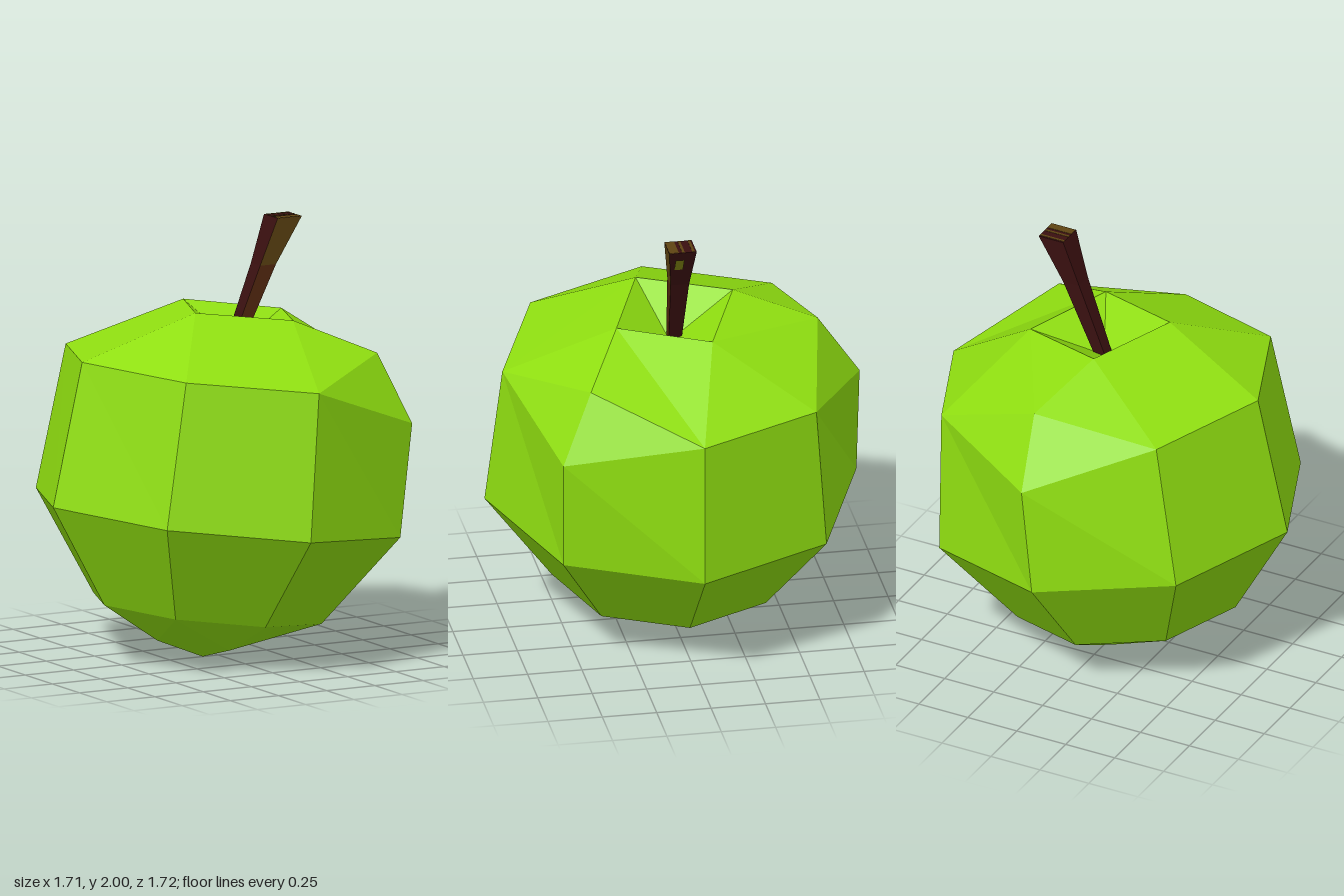
import * as THREE from 'three';

const material = (name, color) => {
  const m = new THREE.MeshStandardMaterial({ color, flatShading: true });
  m.name = name;
  return m;
};

// Flat-shaded mesh from a list of triangles, each three Vector3 corners
function facets(name, triangles, mat) {
  const geometry = new THREE.BufferGeometry().setFromPoints(triangles.flat());
  geometry.computeVertexNormals();
  const mesh = new THREE.Mesh(geometry, mat);
  mesh.name = name;
  return mesh;
}

const v = (x, y, z) => new THREE.Vector3(x, y, z);

// Level ring tilted down towards +x, running from +x to +z
const tiltedRing = (n, r, cx, cy) => Array.from({ length: n }, (_, i) => {
  const a = (i / n) * Math.PI * 2;
  return v(cx + r * Math.cos(a), cy - 0.118 * r * Math.cos(a), r * Math.sin(a));
});

// Two outward triangles of side i between a lower and an upper ring
const side = (low, up, i) => {
  const j = (i + 1) % low.length;
  return [[low[i], up[i], up[j]], [low[i], up[j], low[j]]];
};

function createFruit(mat) {
  const tip = v(-0.08, 0.005, 0);
  const base = tiltedRing(4, 0.24, -0.075, 0.072);
  const lower = tiltedRing(8, 0.535, -0.055, 0.225);
  const belly = tiltedRing(8, 0.855, 0, 0.66);
  // Uneven shoulder, rim of the hollow and two bumps between them
  const s = [
    v(0.85, 1.235, 0), v(0.66, 1.11, 0.615), v(0.08, 1.328, 0.788), v(-0.478, 1.39, 0.555),
    v(-0.705, 1.415, 0), v(-0.478, 1.39, -0.555), v(0.05, 1.175, -0.86), v(0.62, 1.26, -0.555),
  ];
  const r = [v(0.395, 1.545, -0.12), v(0.225, 1.57, 0.29), v(-0.188, 1.615, 0.125), v(-0.018, 1.597, -0.29)];
  const frontBump = v(0.56, 1.42, 0.47), backBump = v(0.09, 1.475, -0.66);
  const hollow = v(0.09, 1.42, 0.02);

  const t = [];
  for (let i = 0; i < 8; i++) t.push(...side(lower, belly, i), ...side(belly, s, i));
  for (let k = 0; k < 4; k++) {
    const n = (k + 1) % 4, b0 = lower[2 * k], b1 = lower[2 * k + 1], b2 = lower[(2 * k + 2) % 8];
    // Underside
    t.push([base[k], b0, b1], [base[k], b1, base[n]], [base[n], b1, b2], [tip, base[k], base[n]]);
    // Stem hollow
    t.push([r[k], hollow, r[n]]);
  }
  // Shoulder up to the rim
  t.push(
    [s[0], frontBump, s[1]], [s[1], frontBump, s[2]], [s[0], r[1], frontBump], [frontBump, r[1], s[2]],
    [s[0], r[0], r[1]], [s[2], r[1], r[2]], [s[2], r[2], s[3]], [s[3], r[2], s[4]],
    [s[4], r[2], r[3]], [s[4], r[3], s[5]], [s[5], r[3], backBump], [s[5], backBump, s[6]],
    [s[6], backBump, s[7]], [backBump, r[3], r[0]], [backBump, r[0], s[7]], [s[7], r[0], s[0]],
  );
  return facets('fruit', t, mat);
}

function createStem(dark, brown, olive, moss) {
  const stem = new THREE.Group();
  stem.name = 'stem';
  const section = (y, x0, x1, z0, z1) => [v(x1, y, z0), v(x1, y, z1), v(x0, y, z1), v(x0, y, z0)];
  const foot = section(1.41, 0.045, 0.1, -0.03, 0.028);
  const middle = section(1.785, 0.19, 0.272, -0.035, 0.05);
  const top = section(2, 0.265, 0.39, -0.048, 0.078);

  // Sides run right, front, left, back; the front is lighter
  const bark = [];
  for (const i of [0, 2, 3]) bark.push(...side(foot, middle, i), ...side(middle, top, i));
  bark.push([top[0], top[2], top[1]], [top[0], top[3], top[2]]);
  stem.add(
    facets('stemBark', bark, dark),
    facets('stemLowerFront', side(foot, middle, 1), brown),
    facets('stemUpperFront', side(middle, top, 1), olive),
  );

  // Thin stripes on the cut end
  for (const [z, w] of [[0.055, 0.042], [0.012, 0.012], [-0.034, 0.012]]) {
    const stripe = new THREE.Mesh(new THREE.BoxGeometry(0.122, 0.003, w), olive);
    stripe.position.set(0.3275, 2, z);
    stripe.name = 'cutEndStripe';
    stem.add(stripe);
  }

  // Moss fleck on the leaning side
  const low = [v(0.334, 1.89, 0.005), v(0.334, 1.89, 0.045)];
  const high = [v(0.372, 1.955, 0.005), v(0.372, 1.955, 0.045)];
  stem.add(facets('mossFleck', side(low, high, 0), moss));
  return stem;
}

export function createModel() {
  const model = new THREE.Group();
  model.name = 'apple';
  model.add(
    createFruit(material('appleGreen', 0x8fde10)),
    createStem(
      material('darkBark', 0x3a1010),
      material('brownBark', 0x53280f),
      material('oliveBark', 0x5e4412),
      material('mossGreen', 0x7c8010),
    ),
  );
  return model;
}
